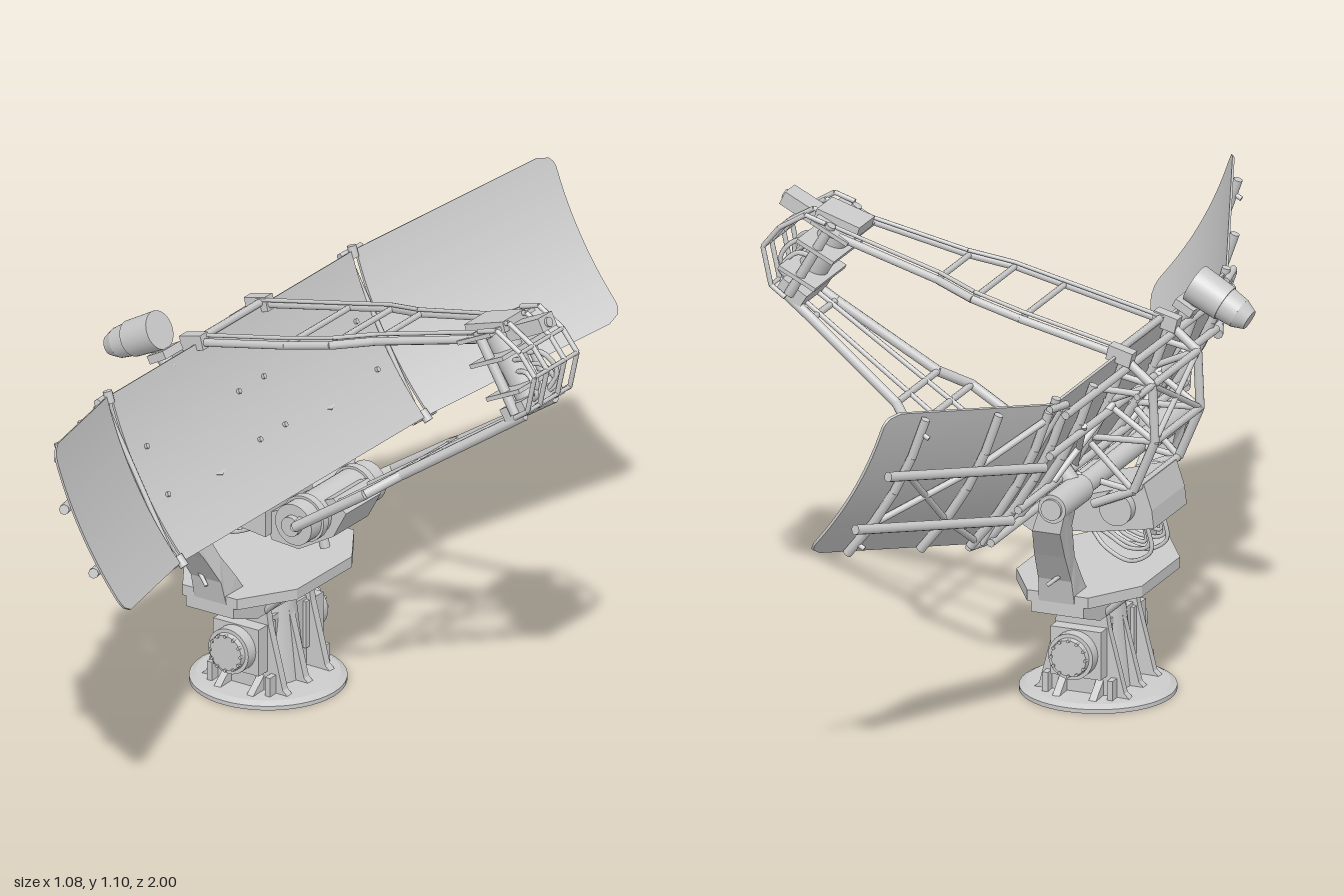
import * as THREE from 'three';

const grey = new THREE.MeshStandardMaterial({ color: 0xcccccc, side: THREE.DoubleSide });
const flat = new THREE.MeshStandardMaterial({ color: 0xcccccc, side: THREE.DoubleSide, flatShading: true });
const V = (p) => new THREE.Vector3(...p);

function add(parent, name, geo, mat = flat) {
  const mesh = new THREE.Mesh(geo, mat);
  mesh.name = name;
  parent.add(mesh);
  return mesh;
}
// Cylinder or cone from point a to point b
function rod(parent, name, a, b, r, r2 = r, sides = 8) {
  const d = V(b).sub(V(a));
  const m = add(parent, name, new THREE.CylinderGeometry(r2, r, d.length(), sides), grey);
  m.position.copy(V(a)).addScaledVector(d, 0.5);
  m.quaternion.setFromUnitVectors(new THREE.Vector3(0, 1, 0), d.normalize());
  return m;
}
// Chain of straight rods
function chain(parent, name, pts, r) {
  for (let i = 1; i < pts.length; i++) rod(parent, name, pts[i - 1], pts[i], r);
}
function cable(parent, name, pts, r) {
  add(parent, name, new THREE.TubeGeometry(new THREE.CatmullRomCurve3(pts.map(V)), 24, r, 6), grey);
}
function box(parent, name, size, pos, tilt = 0) {
  const m = add(parent, name, new THREE.BoxGeometry(...size));
  m.position.set(...pos);
  m.rotation.z = tilt;
  return m;
}
// Flat profile given in x, y, thickened along z and centred on z
function profile(pts, depth) {
  const shape = new THREE.Shape(pts.map((p) => new THREE.Vector2(...p)));
  return new THREE.ExtrudeGeometry(shape, { depth, bevelEnabled: false }).translate(0, 0, -depth / 2);
}
const mirrored = (pts) => [...pts, ...pts.map(([x, y]) => [-x, y]).reverse()];

function buildBase(root) {
  const g = new THREE.Group();
  g.name = 'pedestal';
  g.position.x = -0.257;
  root.add(g);
  const lathe = [[0, 0], [0.18, 0], [0.18, 0.01], [0.165, 0.018], [0.12, 0.02], [0, 0.02]];
  add(g, 'baseFlange', new THREE.LatheGeometry(lathe.map((p) => new THREE.Vector2(...p)), 48), flat);
  rod(g, 'pedestalCore', [0, 0.015, 0], [0, 0.24, 0], 0.085, 0.06, 24);
  const rib = mirrored([[0.118, 0.018], [0.105, 0.03], [0.066, 0.18], [0.052, 0.27]]);
  for (const z of [-0.085, 0, 0.085]) add(g, 'pedestalRib', profile(rib, 0.02)).position.z = z;
  const foot = mirrored([[0.14, 0.018], [0.12, 0.035], [0.09, 0.06], [0.085, 0.19]]);
  for (const x of [-0.045, 0.045]) {
    const m = add(g, 'footRib', profile(foot, 0.018));
    m.rotation.y = Math.PI / 2;
    m.position.x = x;
  }
  for (const s of [1, -1]) {
    // Side drive drums with bolted caps
    box(g, 'driveBlock', [0.125, 0.115, 0.07], [0, 0.125, s * 0.095]);
    rod(g, 'driveDrum', [0, 0.125, s * 0.1], [0, 0.125, s * 0.16], 0.055, 0.055, 32);
    rod(g, 'driveCap', [0, 0.125, s * 0.16], [0, 0.125, s * 0.172], 0.046, 0.043, 32);
    for (let i = 0; i < 12; i++) {
      const a = (i * Math.PI) / 6, x = 0.042 * Math.cos(a), y = 0.125 + 0.042 * Math.sin(a);
      rod(g, 'capBolt', [x, y, s * 0.165], [x, y, s * 0.176], 0.004, 0.004, 6);
    }
    for (const x of [-0.08, 0.08]) box(g, 'footBlock', [0.014, 0.05, 0.04], [x, 0.04, s * 0.1]);
    // Gussets under the platform
    for (const x of [-0.1, 0.1]) rod(g, 'platformGusset', [x * 0.6, 0.22, s * 0.1], [x * 1.25, 0.278, s * 0.12], 0.008);
  }
  // Turning platform
  const plate = mirrored([[0.155, 0.11], [0.075, 0.235]]);
  const oct = [[0.155, -0.11], [0.155, 0.11], [0.075, 0.235], [-0.075, 0.235],
    [-0.155, 0.11], [-0.155, -0.11], [-0.075, -0.235], [0.075, -0.235]];
  add(g, 'platform', profile(oct, 0.026).rotateX(-Math.PI / 2)).position.y = 0.288;
  const under = mirrored([[0.14, 0.215], [0.235, 0.25], [0.235, 0.278]]);
  add(g, 'platformBeam', profile(under, 0.13).rotateY(Math.PI / 2));
}

function buildYoke(root) {
  const outline = [[0.235, 0.28], [0.25, 0.34], [0.3, 0.415], [0.355, 0.49], [0.355, 0.55],
    [0.29, 0.55], [0.285, 0.49], [0.24, 0.4], [0.19, 0.335], [0.15, 0.28]];
  for (const s of [1, -1]) {
    // Each arm leans back and narrows towards its trunnion
    const geo = profile(outline, 0.088).rotateY((-s * Math.PI) / 2);
    const p = geo.attributes.position;
    for (let i = 0; i < p.count; i++) {
      const t = (p.getY(i) - 0.28) / 0.27;
      p.setX(i, p.getX(i) * (1 - 0.28 * t) - 0.255 - 0.042 * t * t);
    }
    geo.computeVertexNormals();
    add(root, 'yokeArm', geo);
    rod(root, 'trunnion', [-0.297, 0.55, s * 0.2], [-0.297, 0.55, s * 0.36], 0.034, 0.034, 24);
    rod(root, 'trunnionCap', [-0.297, 0.55, s * 0.36], [-0.297, 0.55, s * 0.367], 0.025, 0.025, 24);
    rod(root, 'trunnionBracket', [-0.297, 0.55, s * 0.22], [-0.25, 0.61, s * 0.22], 0.025);
    rod(root, 'armStep', [-0.28, 0.36, s * 0.25], [-0.245, 0.33, s * 0.265], 0.005);
  }
  rod(root, 'torqueTube', [-0.297, 0.55, -0.2], [-0.297, 0.55, 0.2], 0.024, 0.024, 20);
}

const HALF = 0.207, FOLD = 0.5;
const sweep = (z) => Math.max(0, Math.abs(z) - FOLD) * 0.45;
const dish = (u) => 0.55 * u * u - 0.012;

// Curved reflector sheet from z0 to z1, rounded at its outer corners if r > 0
function sheet(z0, z1, r) {
  const geo = new THREE.BoxGeometry(0.006, 2 * HALF, 1, 1, 36, 8);
  const p = geo.attributes.position;
  for (let i = 0; i < p.count; i++) {
    const u = p.getY(i), over = Math.max(0, Math.abs(u) - HALF + r);
    const end = z1 - Math.sign(z1) * (r - Math.sqrt(Math.max(0, r * r - over * over)));
    const z = THREE.MathUtils.lerp(z0, end, p.getZ(i) * Math.sign(z1 - z0) * Math.sign(z1) + 0.5);
    const zz = z1 < 0 ? THREE.MathUtils.lerp(z0, end, 0.5 - p.getZ(i)) : z;
    p.setXYZ(i, p.getX(i) + dish(u) + sweep(zz), u, zz);
  }
  geo.computeVertexNormals();
  return geo;
}

function buildReflector(root) {
  // Local x is the facing direction, local y runs up the sheet
  const g = new THREE.Group();
  g.name = 'reflector';
  g.position.set(-0.27, 0.67, 0);
  g.rotation.z = 0.508;
  root.add(g);
  add(g, 'centrePanel', sheet(-0.482, 0.482, 0), grey);
  const back = (u, z, d = 0.018) => [dish(u) + sweep(z) - d, u, z];
  const rib = (name, z, r) => chain(g, name, [-0.2, -0.1, 0, 0.1, 0.2].map((u) => back(u, z)), r);
  for (const z of [-0.46, -0.3, -0.13, 0.13, 0.3, 0.46]) rib('centreRib', z, 0.011);
  for (const u of [-0.19, -0.08, 0.08, 0.19]) rod(g, 'centreRail', back(u, -0.48, 0.03), back(u, 0.48, 0.03), 0.01);
  for (const s of [1, -1]) {
    add(g, 'wingPanel', sheet(s * FOLD, s, 0.04), grey);
    for (const z of [0.53, 0.68, 0.9]) rib('wingRib', s * z, 0.011);
    for (const u of [-0.1, 0.06]) rod(g, 'wingRail', back(u, s * 0.5, 0.035), back(u, s * 0.97, 0.035), 0.012);
    chain(g, 'wingBrace', [[0.18, 0.53], [0.06, 0.68], [-0.1, 0.9]].map(([u, z]) => back(u, s * z)), 0.008);
    chain(g, 'wingBrace', [[-0.18, 0.53], [-0.1, 0.68], [0.06, 0.9]].map(([u, z]) => back(u, s * z)), 0.008);
    for (const u of [-0.205, 0.205]) {
      rod(g, 'hingeBarrel', back(u - 0.014, s * 0.49, 0), back(u + 0.014, s * 0.49, 0), 0.011);
      rod(g, 'hingePin', back(u, s * 0.46), back(u, s * 0.53), 0.009);
      rod(g, 'wingStud', back(u * 0.8, s * 0.9), back(u * 0.8, s * 0.9, 0.04), 0.006);
    }
    rod(g, 'hingeRod', back(-0.2, s * 0.49), back(0.2, s * 0.49), 0.006);
    for (const u of [-0.06, 0.06]) for (const z of [0.05, 0.42])
      rod(g, 'panelBolt', back(u, s * z, 0), back(u, s * z, -0.01), 0.006);
    for (const u of [-0.1, 0.1]) rod(g, 'braceCross', back(u, s * 0.3, 0.03), back(-u, s * 0.13, 0.03), 0.008);
  }
}

function buildBackFrame(root) {
  const bow = [[-0.36, 0.865], [-0.447, 0.795], [-0.453, 0.66], [-0.4, 0.535], [-0.3, 0.49]];
  const feet = [[-0.36, 0.81], [-0.33, 0.74], [-0.28, 0.65], [-0.23, 0.56]];
  for (const s of [1, -1]) {
    const z = s * 0.13;
    chain(root, 'backBow', bow.map((p) => [...p, z]), 0.011);
    for (let i = 1; i < 4; i++) {
      rod(root, 'backStrut', [...bow[i], z], [...feet[i - 1], z], 0.008);
      rod(root, 'backStrut', [...bow[i], z], [...feet[i], z], 0.008);
    }
    rod(root, 'backTie', [...bow[1], z], [...bow[2], -z], 0.007);
  }
  for (let i = 0; i < 4; i++) rod(root, 'backCrossbar', [...bow[i], -0.13], [...bow[i], 0.13], 0.009);
  // Gearbox behind the lower edge, with hanging cables
  const gear = [[-0.41, 0.54], [-0.28, 0.5], [-0.2, 0.48], [-0.2, 0.4], [-0.3, 0.412], [-0.435, 0.437], [-0.43, 0.48]];
  add(root, 'gearbox', profile(gear, 0.19));
  rod(root, 'gearDrum', [-0.35, 0.48, -0.12], [-0.35, 0.48, 0.12], 0.04, 0.04, 24);
  for (let i = 0; i < 6; i++) {
    const z = -0.075 + i * 0.03, d = (i % 3) * 0.02;
    cable(root, 'hangingCable', [[-0.41 + d, 0.435, z], [-0.42 + d, 0.375, z], [-0.37 + d, 0.345 + d, z],
      [-0.3, 0.365 + d, z * 0.8], [-0.26, 0.4, z * 0.6]], 0.005);
  }
  // Stepped camera housing on the upper edge
  const z = 0.235;
  rod(root, 'cameraBody', [-0.47, 0.878, z], [-0.395, 0.918, z], 0.043, 0.046, 28);
  rod(root, 'cameraCollar', [-0.505, 0.859, z], [-0.47, 0.878, z], 0.036, 0.04, 28);
  rod(root, 'cameraNose', [-0.53, 0.846, z], [-0.505, 0.859, z], 0.024, 0.036, 28);
  rod(root, 'cameraMount', [-0.42, 0.9, z], [-0.365, 0.83, z], 0.018);
  box(root, 'cameraShelf', [0.05, 0.02, 0.07], [-0.38, 0.865, z], 0.5);
  rod(root, 'counterBracket', [-0.45, 0.8, -0.21], [-0.35, 0.8, -0.21], 0.008);
  rod(root, 'counterBracketTie', [-0.447, 0.795, -0.22], [-0.447, 0.795, -0.13], 0.008);
}

function buildBooms(root) {
  // Housing and drums at the foot of the lower boom
  const keel = [[-0.22, 0.445], [-0.2, 0.385], [-0.125, 0.38], [-0.03, 0.435], [0.005, 0.5], [-0.03, 0.53], [-0.1, 0.5]];
  add(root, 'boomHousing', profile(keel, 0.14));
  rod(root, 'boomDrum', [-0.085, 0.48, -0.15], [-0.085, 0.48, 0.15], 0.05, 0.05, 28);
  rod(root, 'boomShaft', [-0.085, 0.48, -0.165], [-0.085, 0.48, 0.165], 0.024, 0.024, 20);
  for (const z of [-0.1, 0.1]) rod(root, 'drumRing', [-0.085, 0.48, z - 0.01], [-0.085, 0.48, z + 0.01], 0.056, 0.056, 28);
  rod(root, 'housingPlug', [-0.11, 0.4, 0], [-0.1, 0.365, 0], 0.012);
  const low = [[-0.075, 0.49, 0.12], [-0.05, 0.5, 0.195], [0.13, 0.62, 0.175], [0.19, 0.662, 0.12], [0.42, 0.817, 0.07], [0.49, 0.865, 0.06]];
  const up = [[-0.37, 0.855, 0.13], [-0.12, 0.91, 0.13], [0, 0.939, 0.125], [0.1, 0.963, 0.095], [0.38, 1.03, 0.07]];
  const at = (p, s) => [p[0], p[1], p[2] * s];
  for (const s of [1, -1]) {
    chain(root, 'lowerBoomRail', low.map((p) => at(p, s)), 0.012);
    chain(root, 'upperBoomRail', up.map((p) => at(p, s)), 0.01);
    chain(root, 'upperBoomPipe', up.map(([x, y, z]) => [x, y + 0.014, s * (z - 0.012)]), 0.005);
    rod(root, 'innerWaveguide', [-0.05, 0.5, s * 0.06], [0.46, 0.85, s * 0.035], 0.006);
    box(root, 'upperBoomFoot', [0.06, 0.035, 0.03], [-0.37, 0.858, s * 0.13], 0.25);
  }
  for (const p of [low[2], low[3], low[4]]) rod(root, 'lowerBoomCrossbar', at(p, 1), at(p, -1), 0.008);
  for (const p of up.slice(1)) rod(root, 'upperBoomCrossbar', at(p, 1), at(p, -1), 0.007);
}

function buildFeed(root) {
  rod(root, 'feedBody', [0.37, 1.04, 0], [0.465, 0.885, 0], 0.037, 0.034, 20);
  for (const [x, y] of [[0.36, 1.035], [0.395, 0.985], [0.44, 0.915]])
    box(root, 'feedFlange', [0.1, 0.01, 0.18], [x + 0.01, y, 0], 0.45);
  box(root, 'feedFoot', [0.07, 0.035, 0.15], [0.47, 0.873, 0], 0.55);
  box(root, 'feedHead', [0.105, 0.034, 0.055], [0.465, 1.058, 0], 0.46);
  box(root, 'feedBracket', [0.11, 0.026, 0.09], [0.37, 1.045, 0], 0.3);
  rod(root, 'feedTip', [0.495, 1.072, 0], [0.518, 1.083, 0], 0.012);
  const cage = [[0.38, 1.055], [0.43, 1.07], [0.495, 1.03], [0.535, 0.98], [0.515, 0.89], [0.48, 0.865]];
  for (const z of [-0.085, -0.035, 0.035, 0.085]) chain(root, 'feedCage', cage.map((p) => [...p, z]), 0.006);
  for (const p of cage.slice(2, 5)) rod(root, 'cageCrossbar', [...p, -0.085], [...p, 0.085], 0.005);
  for (const s of [1, -1]) {
    rod(root, 'feedSideBar', [0.37, 1.05, s * 0.075], [0.475, 0.87, s * 0.075], 0.012);
    for (const d of [0, 0.03]) cable(root, 'feedCable', [[0.42, 0.97 - d, s * 0.02], [0.475, 0.985 - d, s * 0.03],
      [0.51, 0.945 - d, s * 0.04], [0.49, 0.89, s * 0.03]], 0.006);
  }
}

export function createModel() {
  const root = new THREE.Group();
  root.name = 'radarAntenna';
  for (const build of [buildBase, buildYoke, buildReflector, buildBackFrame, buildBooms, buildFeed]) build(root);
  return root;
}
